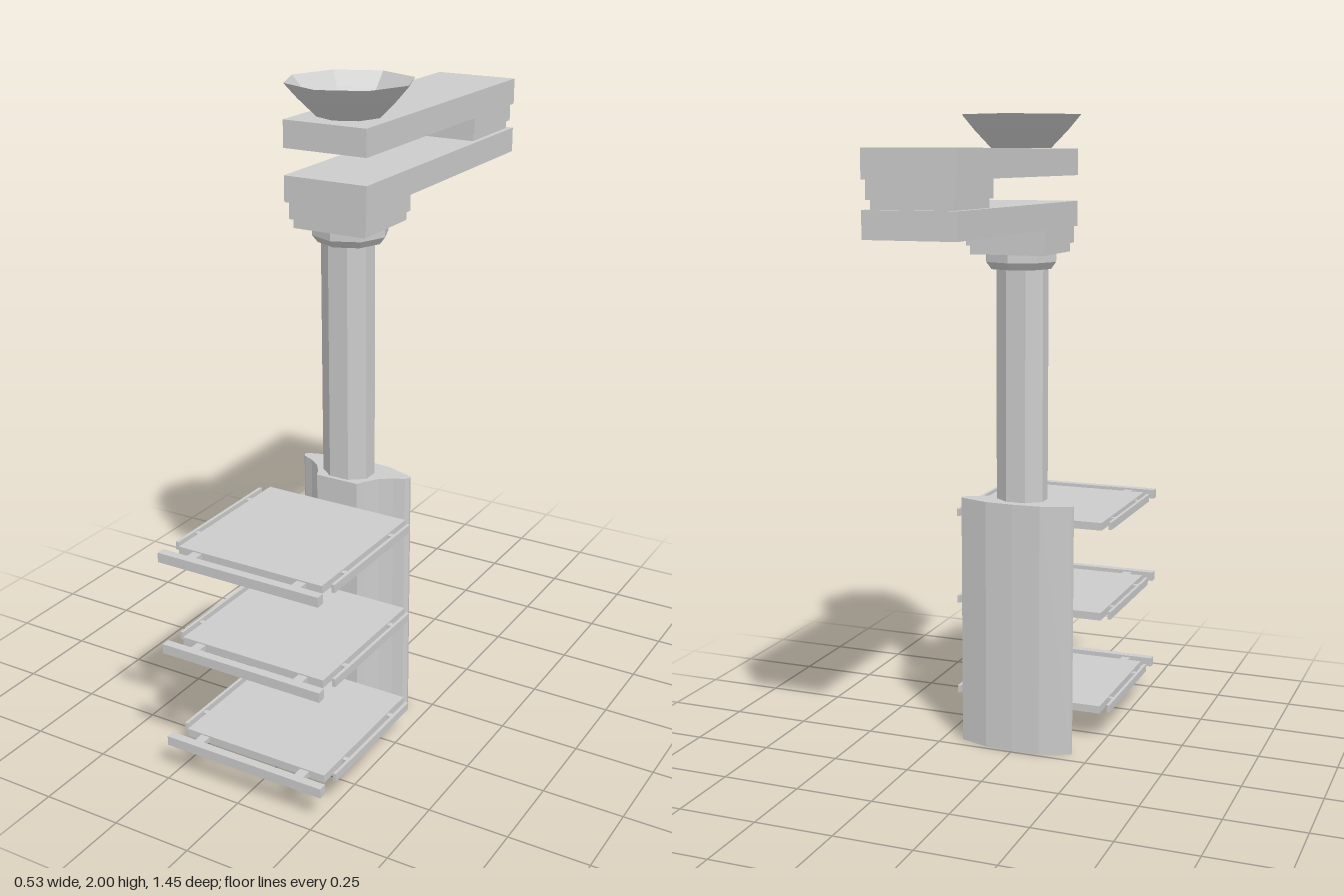
import * as THREE from 'three';

const material = new THREE.MeshStandardMaterial({ color: 0xcccccc, flatShading: true });
const openMaterial = new THREE.MeshStandardMaterial({ color: 0xcccccc, flatShading: true, side: THREE.DoubleSide });

function add(parent, name, geometry, x = 0, y = 0, z = 0, mat = material) {
  const mesh = new THREE.Mesh(geometry, mat);
  mesh.name = name;
  mesh.position.set(x, y, z);
  parent.add(mesh);
  return mesh;
}

// Box given by its limits on each axis
function block(parent, name, [x0, x1], [y0, y1], [z0, z1]) {
  return add(parent, name, new THREE.BoxGeometry(x1 - x0, y1 - y0, z1 - z0),
    (x0 + x1) / 2, (y0 + y1) / 2, (z0 + z1) / 2);
}

// Tray with side rails, front handle and a bracket to the column
function createShelf(top) {
  const shelf = new THREE.Group();
  shelf.name = 'shelf';
  shelf.position.y = top;
  block(shelf, 'tray', [-0.24, 0.24], [-0.027, -0.002], [0.18, 0.657]);
  block(shelf, 'bracket', [-0.092, 0.092], [-0.085, -0.02], [0.165, 0.185]);
  block(shelf, 'frontHandle', [-0.267, 0.267], [-0.03, 0], [0.695, 0.722]);
  for (const side of [-1, 1]) {
    const span = (a, b) => (side > 0 ? [a, b] : [-b, -a]);
    block(shelf, 'sideRail', span(0.257, 0.267), [-0.027, -0.002], [0.2, 0.635]);
    block(shelf, 'handleMount', span(0.16, 0.19), [-0.022, -0.006], [0.65, 0.7]);
    for (const z of [0.282, 0.548]) {
      block(shelf, 'railMount', span(0.235, 0.26), [-0.022, -0.006], [z - 0.008, z + 0.008]);
    }
  }
  return shelf;
}

// Column body: bowed back, thin side edges, flanks sweeping in to a flat front
function createColumnBody() {
  const half = [[0.09, 0.014], [0.185, 0.046], [0.188, 0.058], [0.178, 0.07],
    [0.145, 0.085], [0.11, 0.11], [0.085, 0.145], [0.07, 0.175]];
  const outline = [[0, 0.01], ...half, ...half.slice().reverse().map(([x, z]) => [-x, z])];
  const shape = new THREE.Shape(outline.map(([x, z]) => new THREE.Vector2(x, -z)));
  const geometry = new THREE.ExtrudeGeometry(shape, { depth: 0.812, bevelEnabled: false });
  return geometry.rotateX(-Math.PI / 2);
}

export function createModel() {
  const model = new THREE.Group();
  model.name = 'equipmentPendant';
  const pivotZ = 0.087;

  add(model, 'columnBody', createColumnBody());
  for (const top of [0.737, 0.44, 0.125]) model.add(createShelf(top));

  // Eight-sided post, slightly flattened front to back
  const post = new THREE.CylinderGeometry(0.083, 0.083, 0.76, 8);
  post.rotateY(Math.PI / 8).scale(1, 1, 0.78);
  add(model, 'post', post, 0, 1.18, 0.102);

  // Collar under the lower arm
  const collar = [[0, 1.54], [0.098, 1.54], [0.115, 1.562], [0.115, 1.592], [0, 1.592]];
  add(model, 'collar', new THREE.LatheGeometry(collar.map(([r, y]) => new THREE.Vector2(r, y)), 8), 0, 0, pivotZ);

  // Stepped joints below each arm
  const joints = [['lowerJoint', 1.667, pivotZ], ['upperJoint', 1.82, -0.588]];
  for (const [name, top, z] of joints) {
    block(model, name, [-0.127, 0.127], [top - 0.053, top], [z - 0.13, z + 0.13]);
    block(model, name + 'Step', [-0.118, 0.118], [top - 0.08, top - 0.053], [z - 0.121, z + 0.121]);
  }

  // Two stacked arms
  block(model, 'lowerArm', [-0.135, 0.135], [1.665, 1.742], [-0.727, 0.228]);
  block(model, 'upperArm', [-0.135, 0.135], [1.82, 1.9], [-0.727, 0.228]);

  // Open eight-sided ceiling cup
  const cup = [[0, 1.902], [0.097, 1.902], [0.152, 1.956], [0.191, 2]];
  add(model, 'ceilingCup', new THREE.LatheGeometry(cup.map(([r, y]) => new THREE.Vector2(r, y)), 8), 0, 0, pivotZ, openMaterial);

  return model;
}
